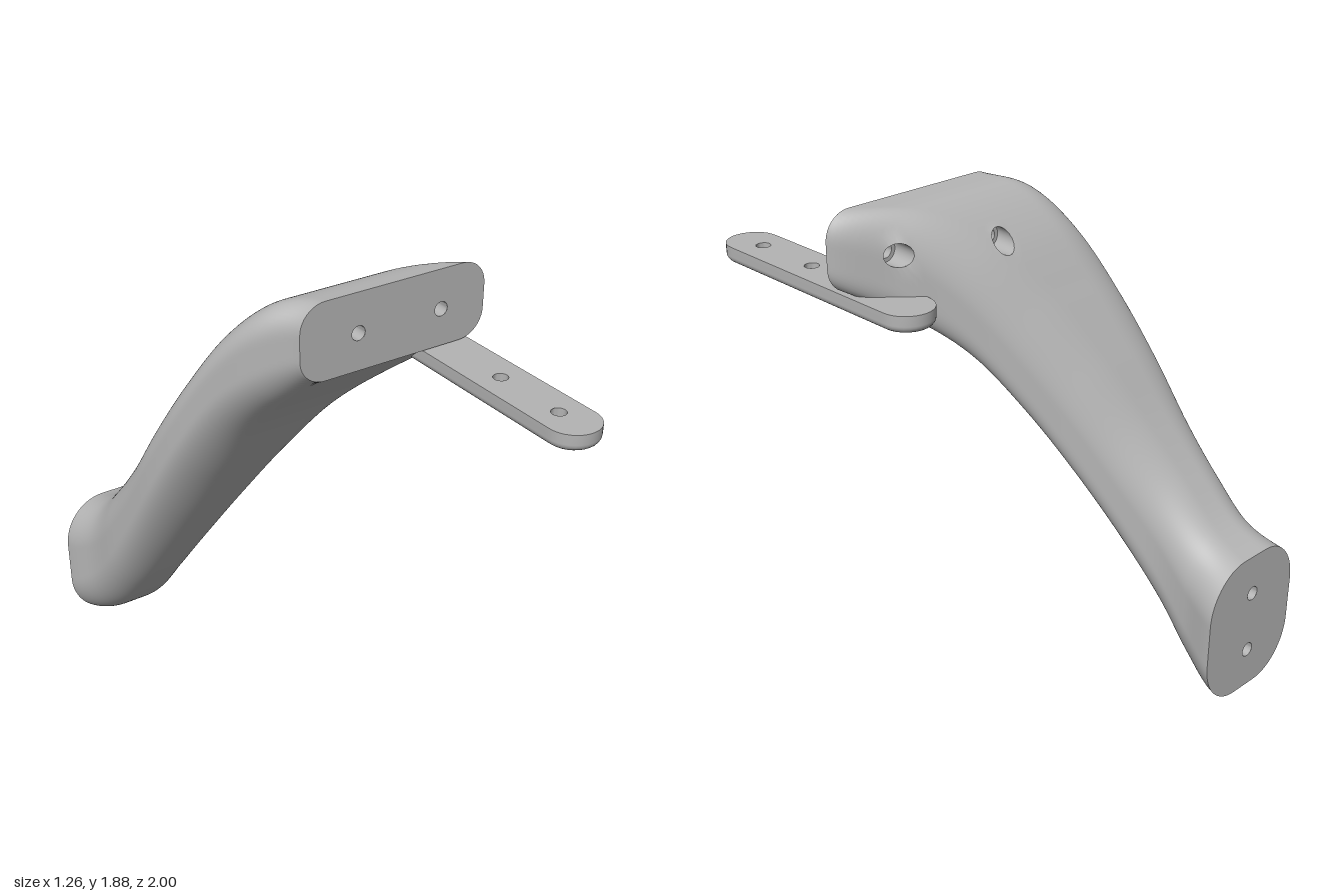
import * as THREE from 'three';
import { toCreasedNormals } from 'three/addons/utils/BufferGeometryUtils.js';

// Closed rounded outline, counterclockwise; fx, fy = corner size as a share of the half extents
function outline(x0, x1, y0, y1, fx, fy, z, count) {
  const cx = (x0 + x1) / 2, cy = (y0 + y1) / 2;
  const hw = (x1 - x0) / 2, hh = (y1 - y0) / 2;
  const rx = hw * fx, ry = hh * fy, q = Math.PI / 2;
  const s = new THREE.Shape();
  s.moveTo(cx, y0);
  [[1, -1], [1, 1], [-1, 1], [-1, -1]].forEach(([sx, sy], i) =>
    s.absellipse(cx + sx * (hw - rx), cy + sy * (hh - ry), rx, ry, (i - 1) * q, i * q));
  s.closePath();
  return s.getSpacedPoints(count).slice(0, count).map(p => new THREE.Vector3(p.x, p.y, z));
}

// Skin over rings; descending z faces outward, ascending z faces inward
function loft(rings, keep = () => true) {
  const n = rings[0].length, index = [];
  for (let i = 0; i < rings.length - 1; i++) {
    for (let j = 0; j < n; j++) {
      const k = (j + 1) % n;
      const a = i * n + j, b = i * n + k, c = a + n, d = b + n;
      if (keep(a, b, c, d)) index.push(a, c, b, b, c, d);
    }
  }
  const g = new THREE.BufferGeometry().setFromPoints(rings.flat());
  g.setIndex(index);
  g.computeVertexNormals();
  return g;
}

// Flat end face with round holes [x, y]
function cap(ring, holes, radius, flip) {
  const s = new THREE.Shape(ring.map(p => new THREE.Vector2(p.x, p.y)));
  for (const [x, y] of holes) s.holes.push(new THREE.Path().absarc(x, y, radius, 0, Math.PI * 2, true));
  const g = new THREE.ShapeGeometry(s, 24);
  if (flip) g.index.array.reverse();
  g.translate(0, 0, ring[0].z);
  g.computeVertexNormals();
  return g;
}

// Inside wall of a hole: steps of [radius, z], with z a number or a function of (dx, dy)
function bore(x, y, steps) {
  const rings = steps.map(([r, z]) => Array.from({ length: 24 }, (_, i) => {
    const a = i / 24 * Math.PI * 2, dx = r * Math.cos(a), dy = r * Math.sin(a);
    return new THREE.Vector3(x + dx, y + dy, typeof z === 'function' ? z(dx, dy) : z);
  }));
  return toCreasedNormals(loft(rings), 0.7);
}

export function createModel() {
  const model = new THREE.Group();
  const grey = new THREE.MeshStandardMaterial({ color: 0xb4b4b4, side: THREE.DoubleSide });
  grey.name = 'plain grey';
  const add = (parent, name, geometry) => {
    const m = new THREE.Mesh(geometry, grey);
    m.name = name;
    parent.add(m);
  };

  // Arm: sections at even steps from z = 0.2 to z = -1 (x0, x1, y0, y1, fx, fy)
  const arm = new THREE.Group();
  arm.name = 'arm';
  const sections = [
    [-0.19, 0.63, 1.57, 1.88, 0.26, 0.68],
    [-0.30, 0.44, 1.44, 1.85, 0.40, 0.72],
    [-0.385, 0.27, 1.265, 1.72, 0.55, 0.78],
    [-0.46, 0.125, 1.02, 1.505, 0.68, 0.8],
    [-0.51, 0.0, 0.76, 1.27, 0.75, 0.8],
    [-0.54, -0.10, 0.51, 1.03, 0.78, 0.8],
    [-0.565, -0.165, 0.28, 0.83, 0.78, 0.78],
    [-0.585, -0.17, 0.095, 0.675, 0.77, 0.75],
    [-0.635, -0.14, 0, 0.6, 0.75, 0.7],
  ];
  const last = sections.length - 1, steps = 96;
  const columns = sections[0].map((_, c) =>
    new THREE.SplineCurve(sections.map((s, i) => new THREE.Vector2(i, s[c]))));
  const rings = [];
  for (let i = 0; i <= steps; i++) {
    const v = columns.map(c => c.getPoint(i / steps).y);
    rings.push(outline(...v, 0.2 - 1.2 * i / steps, 120));
  }

  // Counterbored screw holes: axis x, y and slope of the skin where they come out
  const frontHoles = [
    { x: 0.06, y: 1.72, gx: 0, gy: 0.8 },
    { x: 0.43, y: 1.72, gx: 0.7, gy: 0 },
  ];
  const r = 0.029, R = 0.045;
  const points = rings.flat();
  const removed = new Set();
  const tag = (a, b, c, d) => {
    const x = (points[a].x + points[b].x + points[c].x + points[d].x) / 4;
    const y = (points[a].y + points[b].y + points[c].y + points[d].y) / 4;
    return frontHoles.findIndex(h => Math.hypot(x - h.x, y - h.y) < R);
  };
  const edge = frontHoles.map(() => new Set());
  loft(rings, (a, b, c, d) => {
    const h = tag(a, b, c, d);
    if (h >= 0) {
      removed.add(a + '/' + b);
      [a, b, c, d].forEach(v => edge[h].add(v));
    }
    return true;
  });
  // Snap the skin around each opening to its rim
  frontHoles.forEach((h, i) => {
    const ids = [...edge[i]];
    const z0 = ids.reduce((s, v) =>
      s + points[v].z - h.gx * (points[v].x - h.x) - h.gy * (points[v].y - h.y), 0) / Math.max(1, ids.length);
    h.rim = (dx, dy) => z0 + h.gx * dx + h.gy * dy;
    h.step = z0 + 0.075;
    for (const v of ids) {
      const p = points[v], d = Math.hypot(p.x - h.x, p.y - h.y) || 1;
      const dx = (p.x - h.x) * R / d, dy = (p.y - h.y) * R / d;
      p.set(h.x + dx, h.y + dy, h.rim(dx, dy));
    }
  });
  add(arm, 'armSkin', loft(rings, (a, b) => !removed.has(a + '/' + b)));
  add(arm, 'frontFace', cap(rings[0], frontHoles.map(h => [h.x, h.y]), r, false));
  for (const h of frontHoles) {
    add(arm, 'frontScrewHole', bore(h.x, h.y, [[R, h.rim], [R, h.step], [r, h.step], [r, 0.2]]));
  }

  // Rear mounting face with two blind holes
  const backHoles = [[-0.39, 0.17], [-0.39, 0.43]];
  add(arm, 'rearFace', cap(rings[steps], backHoles, r, true));
  for (const [x, y] of backHoles) add(arm, 'rearScrewHole', bore(x, y, [[r, -1], [r, -0.85], [0, -0.85]]));
  model.add(arm);

  // Flat bar with round ends and a rounded lower edge, laid down from the xy plane
  const bar = new THREE.Group();
  bar.name = 'bar';
  const barRing = (inset, z) => outline(0.36 + inset, 0.57 - inset, -1 + inset, 0.135 - inset,
    1, (0.105 - inset) / (0.5675 - inset), z, 120);
  const barRings = [barRing(0, 1.565)];
  for (let i = 0; i <= 6; i++) {
    const a = i / 6 * Math.PI / 2;
    barRings.push(barRing(0.03 * (1 - Math.cos(a)), 1.525 - 0.03 * Math.sin(a)));
  }
  const barHoles = [[0.465, -0.515], [0.465, -0.825]];
  add(bar, 'barEdge', loft(barRings));
  add(bar, 'barTop', cap(barRings[0], barHoles, r, false));
  add(bar, 'barUnderside', cap(barRings[barRings.length - 1], barHoles, r, true));
  for (const [x, y] of barHoles) add(bar, 'barScrewHole', bore(x, y, [[r, 1.495], [r, 1.565]]));
  bar.rotation.x = -Math.PI / 2;
  model.add(bar);

  return model;
}
